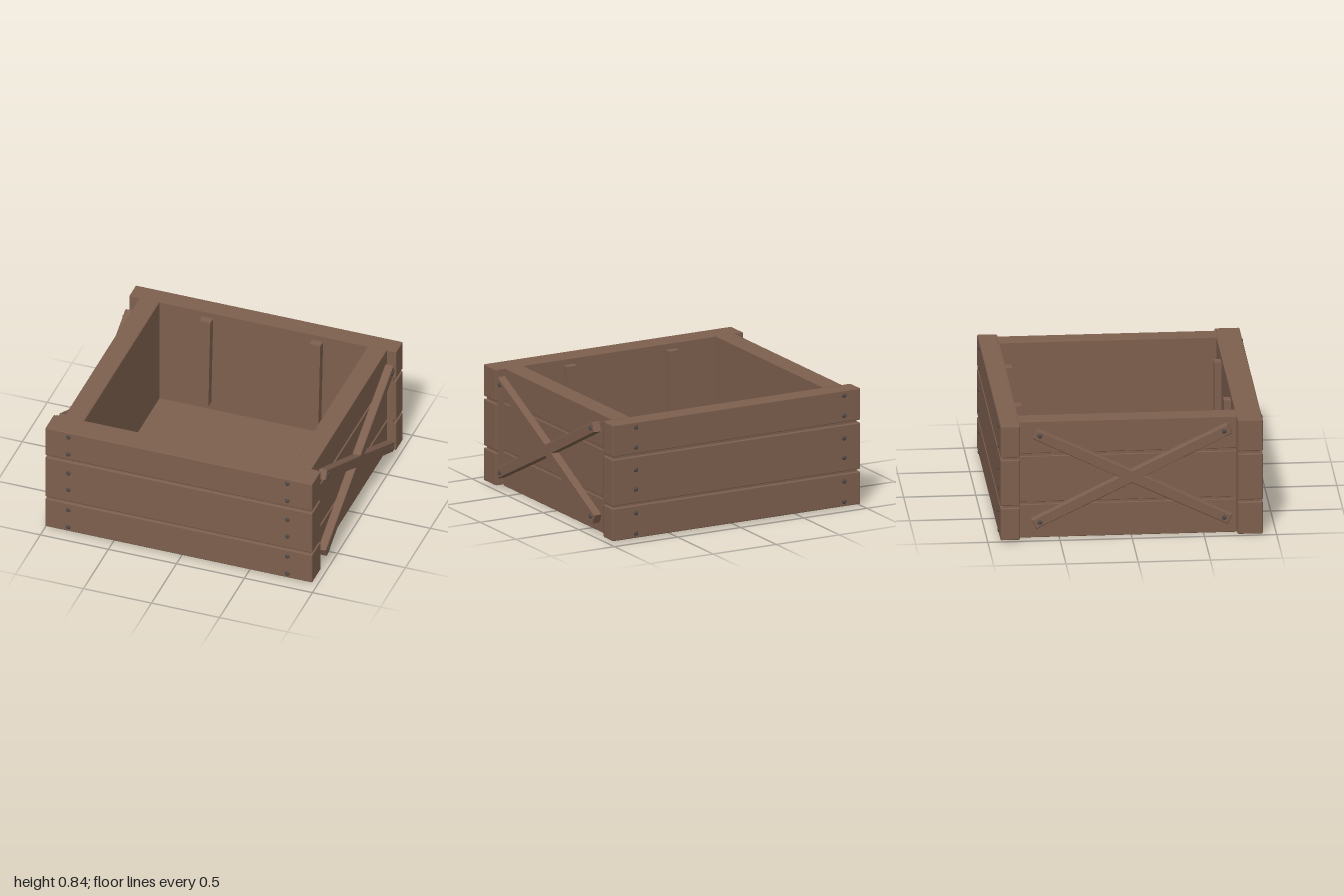
import * as THREE from 'three';
import { RoundedBoxGeometry } from 'three/addons/geometries/RoundedBoxGeometry.js';

const wood = new THREE.MeshStandardMaterial({ color: 0x7d5f4e });
const iron = new THREE.MeshStandardMaterial({ color: 0x4f4a47 });

// Box given by its limits on each axis, with an optional small bevel
function block(name, [x0, x1], [y0, y1], [z0, z1], bevel = 0) {
  const size = [x1 - x0, y1 - y0, z1 - z0];
  const geometry = bevel
    ? new RoundedBoxGeometry(...size, 1, bevel)
    : new THREE.BoxGeometry(...size);
  const mesh = new THREE.Mesh(geometry, wood);
  mesh.name = name;
  mesh.position.set((x0 + x1) / 2, (y0 + y1) / 2, (z0 + z1) / 2);
  return mesh;
}

// Domed nail head pointing along a direction
const nailGeometry = new THREE.SphereGeometry(0.017, 12, 4, 0, Math.PI * 2, 0, Math.PI / 2);
function nail(x, y, z, direction) {
  const mesh = new THREE.Mesh(nailGeometry, iron);
  mesh.name = 'nail';
  mesh.scale.y = 0.65;
  mesh.position.set(x, y, z);
  mesh.quaternion.setFromUnitVectors(new THREE.Vector3(0, 1, 0), direction);
  return mesh;
}

// Crossed pair of braces as one outline, lying in the z-y plane
function braceGeometry() {
  const quarter = [[0.09, 0], [0.695, 0.298], [0.662, 0.364], [0, 0.045]];
  const [a, b, c, d] = quarter;
  const points = [
    a, b, c, d,
    [-c[0], c[1]], [-b[0], b[1]], [-a[0], 0],
    [-b[0], -b[1]], [-c[0], -c[1]], [0, -d[1]],
    [c[0], -c[1]], [b[0], -b[1]],
  ].map(([u, v]) => new THREE.Vector2(u, v));
  const geometry = new THREE.ExtrudeGeometry(new THREE.Shape(points), {
    depth: 0.048, bevelThickness: 0.006, bevelSize: 0.005, bevelOffset: -0.005, bevelSegments: 1,
  });
  return geometry.translate(0, 0, -0.024).rotateY(Math.PI / 2);
}

export function createModel() {
  const crate = new THREE.Group();
  crate.name = 'crate';
  const rows = [[0.01, 0.242], [0.26, 0.593], [0.613, 0.84]];
  const nailHeights = [0.045, 0.19, 0.36, 0.5, 0.66, 0.805];

  // Front and back walls: three planks over a recessed core
  const ends = [
    { name: 'front', s: 1, inner: 0.73, outer: 0.905, nails: [-0.83, 0.78] },
    { name: 'back', s: -1, inner: 0.775, outer: 0.912, nails: [-0.87, 0.78] },
  ];
  for (const { name, s, inner, outer, nails } of ends) {
    const wall = new THREE.Group();
    wall.name = name + 'Wall';
    const span = (a, b) => [a * s, b * s].sort((p, q) => p - q);
    wall.add(block('core', [-0.98, 0.945], [0.012, 0.839], span(inner, outer - 0.02)));
    for (const row of rows) {
      wall.add(block('plank', [-1, 0.963], row, span(inner + 0.003, outer), 0.007));
    }
    for (const x of nails) {
      for (const y of nailHeights) wall.add(nail(x, y, outer * s, new THREE.Vector3(0, 0, s)));
    }
    crate.add(wall);
  }

  // Side walls: shallow plank seams, with a nailed cross brace outside
  const cross = braceGeometry();
  const sides = [
    { name: 'left', s: 1, inner: 0.755, outer: 0.897 },
    { name: 'right', s: -1, inner: 0.775, outer: 0.922 },
  ];
  for (const { name, s, inner, outer } of sides) {
    const wall = new THREE.Group();
    wall.name = name + 'Wall';
    const span = (a, b) => [a * s, b * s].sort((p, q) => p - q);
    wall.add(block('core', span(inner, outer - 0.01), [0.002, 0.842], [-0.785, 0.74]));
    for (const [i, [y0, y1]] of rows.entries()) {
      const row = [i === 0 ? 0 : y0, i === 2 ? 0.845 : y1];
      wall.add(block('plank', span(inner + 0.003, outer), row, [-0.785, 0.74], 0.005));
    }
    const brace = new THREE.Mesh(cross, wood);
    brace.name = 'crossBrace';
    brace.position.set(0.955 * s, 0.445, 0);
    wall.add(brace);
    for (const z of [-0.638, 0.638]) {
      for (const y of [0.13, 0.76]) wall.add(nail(0.985 * s, y, z, new THREE.Vector3(s, 0, 0)));
    }
    crate.add(wall);
  }

  // Floor
  crate.add(block('floor', [-0.8, 0.78], [0.004, 0.03], [-0.8, 0.76]));

  // Slightly leaning cleats on the inner faces of the front and back walls
  for (const x of [-0.428, 0.38]) {
    for (const z of [[-0.785, -0.717], [0.68, 0.74]]) {
      const cleat = block('cleat', [x - 0.04, x + 0.04], [0.09, 0.8], z);
      cleat.rotation.z = -0.02;
      crate.add(cleat);
    }
  }
  return crate;
}
